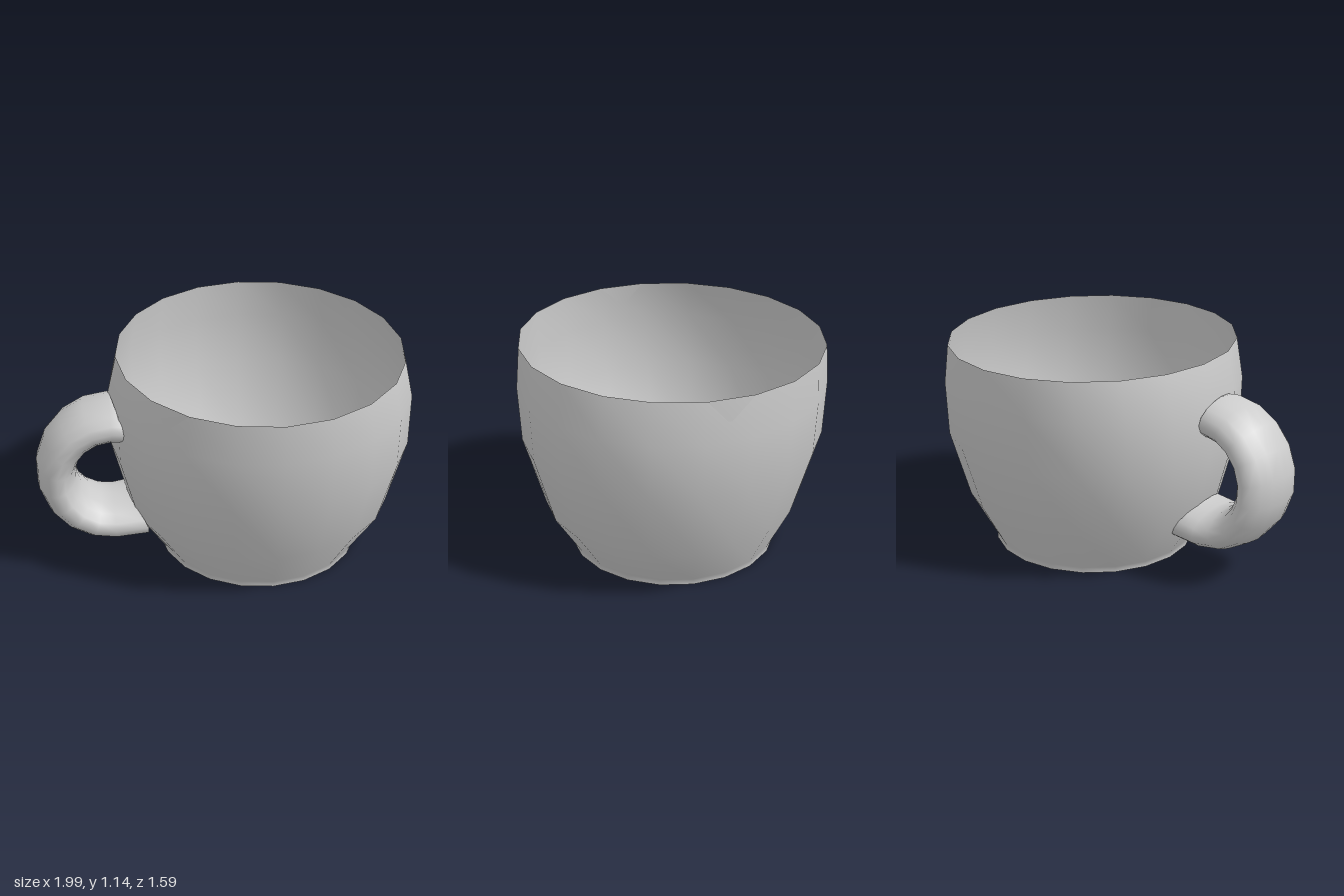
import * as THREE from 'three';
import { mergeVertices } from 'three/addons/utils/BufferGeometryUtils.js';

const CUP_X = 0.2;
const SIDES = 20;
const material = new THREE.MeshStandardMaterial({ color: 0xcccccc, side: THREE.DoubleSide });

// Cup rings, bottom to top: [height, half width in x, half width in z]
const OUTER = [
  [0, 0.55, 0.55], [0.03, 0.55, 0.55], [0.27, 0.71, 0.67],
  [0.64, 0.8, 0.78], [0.93, 0.8, 0.797], [1.14, 0.75, 0.79],
];
// Inside, rim down to the middle of the floor: a thin lining with the same foot
const INNER = [
  [1.14, 0.75, 0.79], [0.93, 0.794, 0.791], [0.64, 0.794, 0.774],
  [0.27, 0.702, 0.662], [0.04, 0.54, 0.54], [0.015, 0.53, 0.53], [0.015, 0, 0],
];

// Smooth normals across the seam
function smooth(geometry) {
  geometry.deleteAttribute('normal');
  geometry.deleteAttribute('uv');
  const merged = mergeVertices(geometry, 1e-4);
  merged.computeVertexNormals();
  return merged;
}

// Lathe whose rings are slightly elliptical
function ellipticalLathe(rings) {
  const geometry = new THREE.LatheGeometry(rings.map(([y, rx]) => new THREE.Vector2(rx, y)), SIDES);
  const p = geometry.attributes.position;
  for (let i = 0; i < p.count; i++) {
    const [, rx, rz] = rings[i % rings.length];
    if (rx > 0) p.setZ(i, p.getZ(i) * rz / rx);
  }
  return smooth(geometry);
}

// x of the cup's handle-side wall at a given height and depth
function wallX(y, z) {
  let k = 1;
  while (k < OUTER.length - 1 && OUTER[k][0] < y) k++;
  const [a, b] = [OUTER[k - 1], OUTER[k]];
  const t = (y - a[0]) / (b[0] - a[0]);
  const rx = THREE.MathUtils.lerp(a[1], b[1], t);
  const rz = THREE.MathUtils.lerp(a[2], b[2], t);
  return CUP_X - rx * Math.sqrt(Math.max(0, 1 - (z / rz) ** 2));
}

// Flat oval tube around a half circle, its ends trimmed to the cup wall
function handleGeometry() {
  const path = [[-0.45, 0.845, 90]];
  for (let i = 0; i <= 9; i++) {
    const a = THREE.MathUtils.degToRad(90 + i * 20);
    path.push([-0.6 + 0.295 * Math.cos(a), 0.55 + 0.3 * Math.sin(a), 90 + i * 20]);
  }
  path.push([-0.43, 0.262, 272]);

  const around = 16;
  const positions = [];
  const indices = [];
  path.forEach(([cx, cy, degrees], i) => {
    const a = THREE.MathUtils.degToRad(degrees);
    const t = i / (path.length - 1);
    const halfWidth = 0.19 + 0.03 * t;
    const cz = 0.105 - 0.025 * t;
    for (let j = 0; j < around; j++) {
      const b = (j / around) * Math.PI * 2;
      const r = 0.105 * Math.cos(b);
      const y = cy + r * Math.sin(a);
      const z = cz + halfWidth * Math.sin(b);
      const x = Math.min(cx + r * Math.cos(a), wallX(y, z) + 0.004);
      positions.push(x, y, z);
      if (i < path.length - 1) {
        const p = i * around + j;
        const q = i * around + (j + 1) % around;
        indices.push(p, p + around, q, q, p + around, q + around);
      }
    }
  });
  const geometry = new THREE.BufferGeometry();
  geometry.setAttribute('position', new THREE.Float32BufferAttribute(positions, 3));
  geometry.setIndex(indices);
  geometry.computeVertexNormals();
  return geometry;
}

export function createModel() {
  const group = new THREE.Group();
  group.name = 'cup';
  const add = (name, geometry, x = 0) => {
    const mesh = new THREE.Mesh(geometry, material);
    mesh.name = name;
    mesh.position.x = x;
    group.add(mesh);
  };

  add('outerWall', ellipticalLathe(OUTER), CUP_X);
  add('innerWall', ellipticalLathe(INNER), CUP_X);
  // Flat underside
  add('base', new THREE.CircleGeometry(0.55, SIDES).rotateX(Math.PI / 2), CUP_X);
  add('handle', handleGeometry());
  return group;
}
